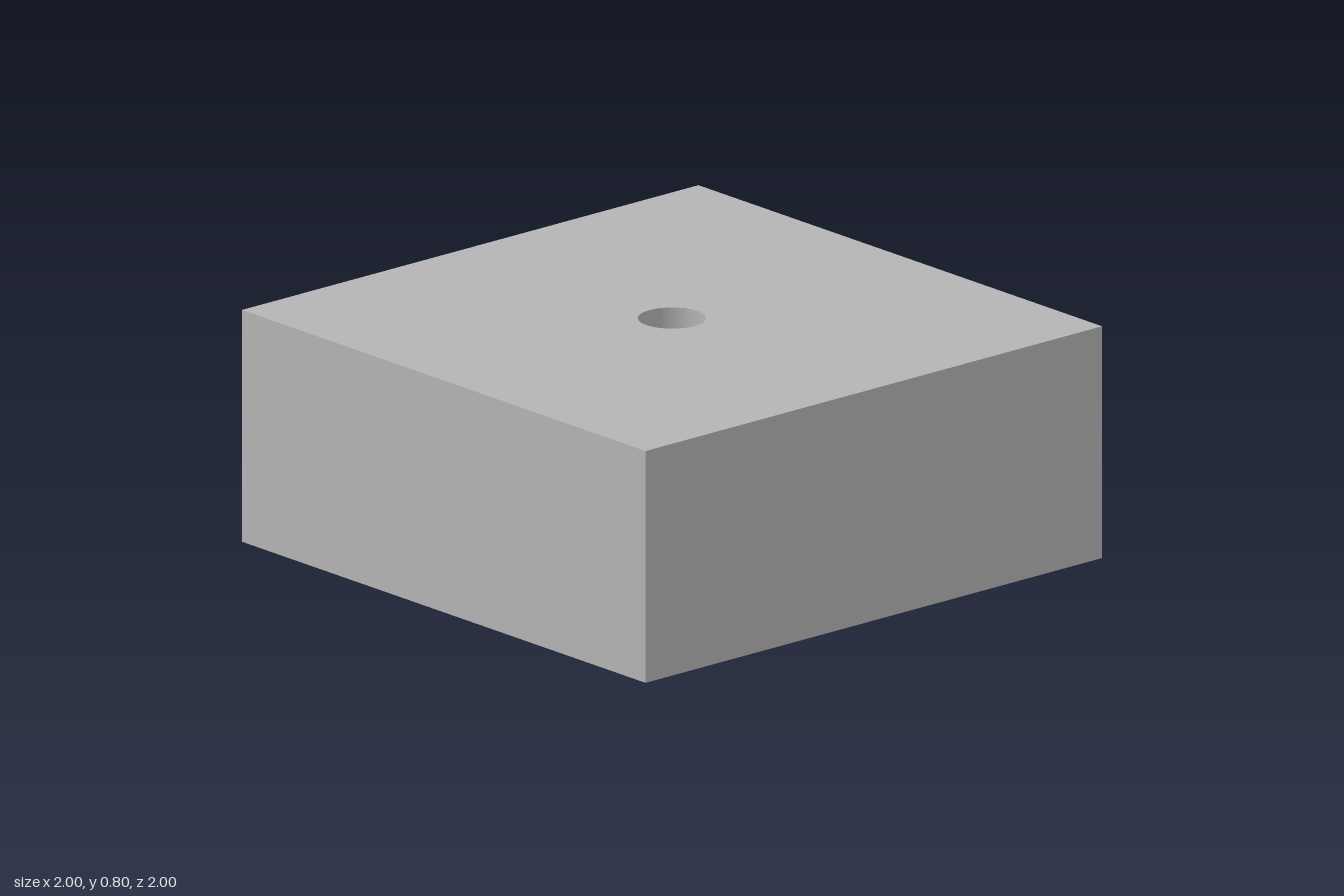
import * as THREE from 'three';

const HEIGHT = 0.8, BORE = 0.112, RECESS = 0.68, DEPTH = 0.1, SEGMENTS = 96;

// Square face with a round opening, lying flat at height y
function pierced(radius, y, up) {
  const shape = new THREE.Shape([[-1, -1], [1, -1], [1, 1], [-1, 1]].map(p => new THREE.Vector2(...p)));
  shape.holes.push(new THREE.Path().absarc(0, 0, radius, 0, Math.PI * 2, true));
  return new THREE.ShapeGeometry(shape, SEGMENTS)
    .rotateX(up ? -Math.PI / 2 : Math.PI / 2)
    .translate(0, y, 0);
}

// One straight profile segment spun around the vertical axis
function spun(r1, y1, r2, y2) {
  return new THREE.LatheGeometry([new THREE.Vector2(r1, y1), new THREE.Vector2(r2, y2)], SEGMENTS);
}

export function createModel() {
  const grey = new THREE.MeshStandardMaterial({ color: 0xb4b4b4 });
  grey.name = 'grey';
  const block = new THREE.Group();
  block.name = 'block';
  const add = (name, geometry) => {
    const mesh = new THREE.Mesh(geometry, grey);
    mesh.name = name;
    block.add(mesh);
    return mesh;
  };

  // Outer faces
  add('topFace', pierced(BORE, HEIGHT, true));
  add('bottomFace', pierced(RECESS, 0, false));
  ['frontWall', 'leftWall', 'backWall', 'rightWall'].forEach((name, i) => {
    const wall = new THREE.PlaneGeometry(2, HEIGHT).translate(0, HEIGHT / 2, 1);
    add(name, wall.rotateY(i * Math.PI / 2));
  });

  // Through hole opening into a shallow round recess underneath
  add('boreWall', spun(BORE, HEIGHT, BORE, DEPTH));
  add('recessCeiling', spun(BORE, DEPTH, RECESS, DEPTH));
  add('recessWall', spun(RECESS, DEPTH, RECESS, 0));

  return block;
}
